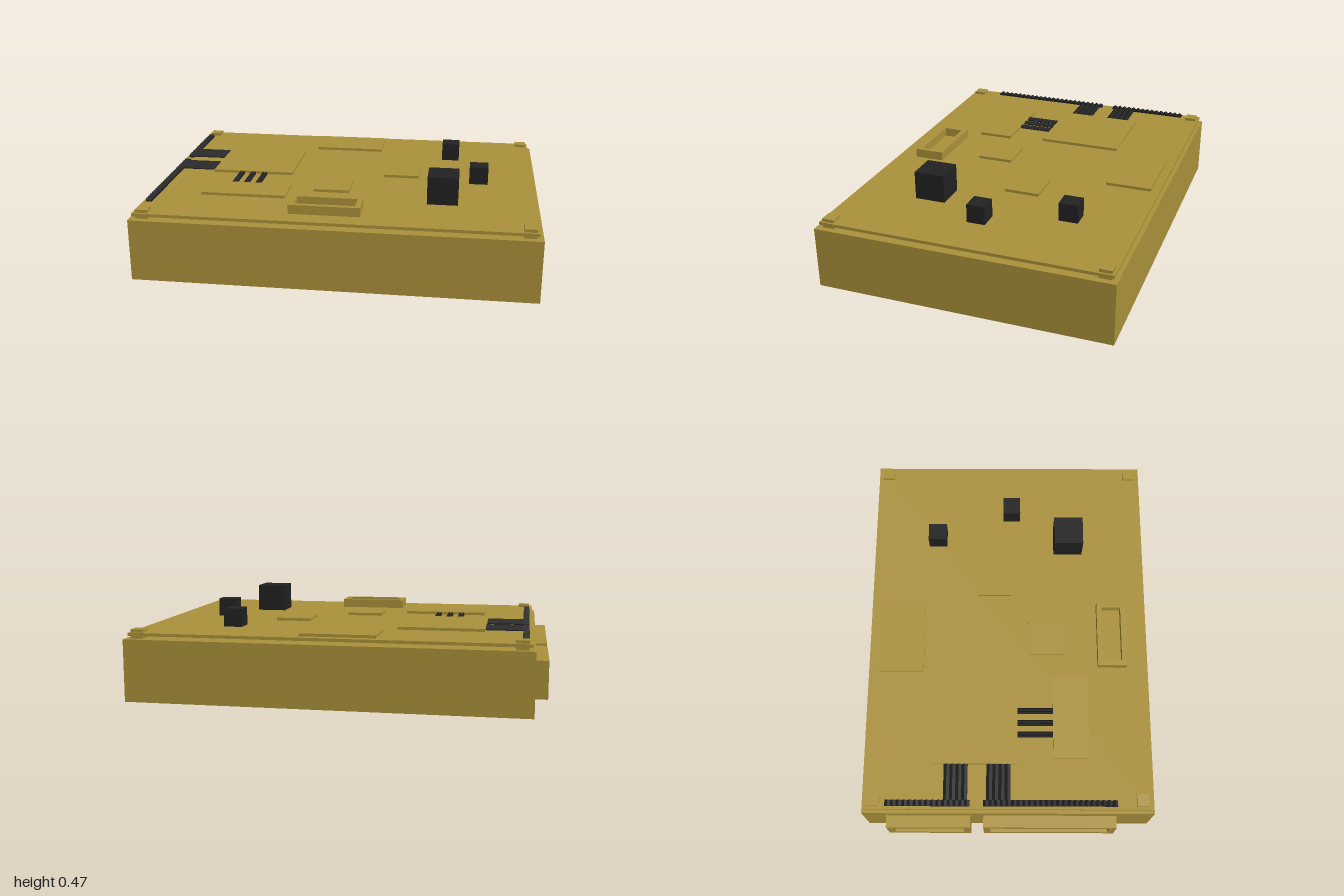
import * as THREE from 'three';

const brass = new THREE.MeshStandardMaterial({ color: 0xab923a });
brass.name = 'brass';
const black = new THREE.MeshStandardMaterial({ color: 0x222222 });
black.name = 'black';

const BOARD_TOP = 0.335;

export function createModel() {
  const model = new THREE.Group();
  model.name = 'driveUnit';

  const add = (name, geometry, material) => {
    const mesh = new THREE.Mesh(geometry, material);
    mesh.name = name;
    model.add(mesh);
    return mesh;
  };

  // Box given by its extents on each axis
  const block = (name, material, [x0, x1], [y0, y1], [z0, z1]) => {
    const mesh = add(name, new THREE.BoxGeometry(x1 - x0, y1 - y0, z1 - z0), material);
    mesh.position.set((x0 + x1) / 2, (y0 + y1) / 2, (z0 + z1) / 2);
    return mesh;
  };

  // Rectangular frame, w by h, extruded along z
  const frameGeometry = (w, h, wall, depth) => {
    const rect = (Path, a, b) => new Path([
      new THREE.Vector2(-a, -b), new THREE.Vector2(a, -b),
      new THREE.Vector2(a, b), new THREE.Vector2(-a, b),
    ]);
    const shape = rect(THREE.Shape, w / 2, h / 2);
    shape.holes.push(rect(THREE.Path, w / 2 - wall, h / 2 - wall));
    return new THREE.ExtrudeGeometry(shape, { depth, bevelEnabled: false });
  };

  // Strip with a saw-tooth top; teeth repeat along its length
  const toothedStrip = (name, length, width, y0, y1, x, z, alongZ) => {
    const teeth = Math.max(2, Math.round(length / 0.028));
    const shape = new THREE.Shape();
    shape.moveTo(-length / 2, y0);
    shape.lineTo(length / 2, y0);
    for (let i = teeth; i > 0; i--) {
      const right = -length / 2 + (i * length) / teeth;
      shape.lineTo(right, y1 - 0.01);
      shape.lineTo(right - length / teeth / 2, y1);
    }
    shape.lineTo(-length / 2, y1 - 0.01);
    const geometry = new THREE.ExtrudeGeometry(shape, { depth: width, bevelEnabled: false });
    geometry.translate(0, 0, -width / 2);
    if (alongZ) geometry.rotateY(-Math.PI / 2);
    add(name, geometry, black).position.set(x, 0, z);
  };

  // Case and circuit board
  block('case', brass, [-0.94, 1], [0, 0.305], [-0.727, 0.724]);
  block('circuitBoard', brass, [-0.925, 0.98], [0.32, BOARD_TOP], [-0.712, 0.706]);

  // Corner posts carrying the board
  for (const x of [-0.88, 0.94]) {
    for (const z of [-0.67, 0.664]) {
      block('cornerPost', brass, [x - 0.03, x + 0.03], [0.305, 0.35], [z - 0.03, z + 0.03]);
    }
  }

  // Flat chips
  const chips = [
    [[-0.70, -0.275], [-0.38, 0.045]],
    [[-0.67, -0.245], [0.225, 0.405]],
    [[-0.215, 0.15], [-0.67, -0.44]],
    [[0.21, 0.39], [-0.165, -0.01]],
    [[-0.12, 0.06], [0.105, 0.285]],
  ];
  chips[3][1] = [-0.165, 0.01];
  for (const [x, z] of chips) block('chip', brass, x, [BOARD_TOP, 0.349], z);

  // Black block components
  block('largeComponent', black, [0.455, 0.605], [BOARD_TOP, 0.475], [0.24, 0.392]);
  block('smallComponent', black, [0.655, 0.75], [BOARD_TOP, 0.426], [-0.03, 0.06]);
  block('smallComponent', black, [0.5, 0.592], [BOARD_TOP, 0.426], [-0.43, -0.335]);

  // Open connector on the board
  const connector = add('boardConnector', frameGeometry(0.345, 0.15, 0.026, 0.045), brass);
  connector.rotation.x = -Math.PI / 2;
  connector.position.set(-0.018, BOARD_TOP, 0.535);

  // Side sockets, with the pin rows above them
  for (const [z0, z1] of [[-0.61, -0.19], [-0.125, 0.54]]) {
    const z = (z0 + z1) / 2;
    const socket = add('sideSocket', frameGeometry(z1 - z0, 0.18, 0.035, 0.06), brass);
    socket.rotation.y = -Math.PI / 2;
    socket.position.set(-0.94, 0.155, z);
    toothedStrip('pinRow', z1 - z0, 0.03, 0.305, 0.352, -0.895, z, true);
  }

  // Ribbons from the pin rows to the main chip
  for (const z of [-0.263, -0.05]) {
    toothedStrip('ribbon', 0.12, 0.18, BOARD_TOP, 0.35, -0.79, z, true);
  }

  // Traces between the two chips
  for (const x of [-0.547, -0.487, -0.425]) {
    toothedStrip('trace', 0.03, 0.18, BOARD_TOP, 0.35, x, 0.135, false);
  }

  return model;
}
